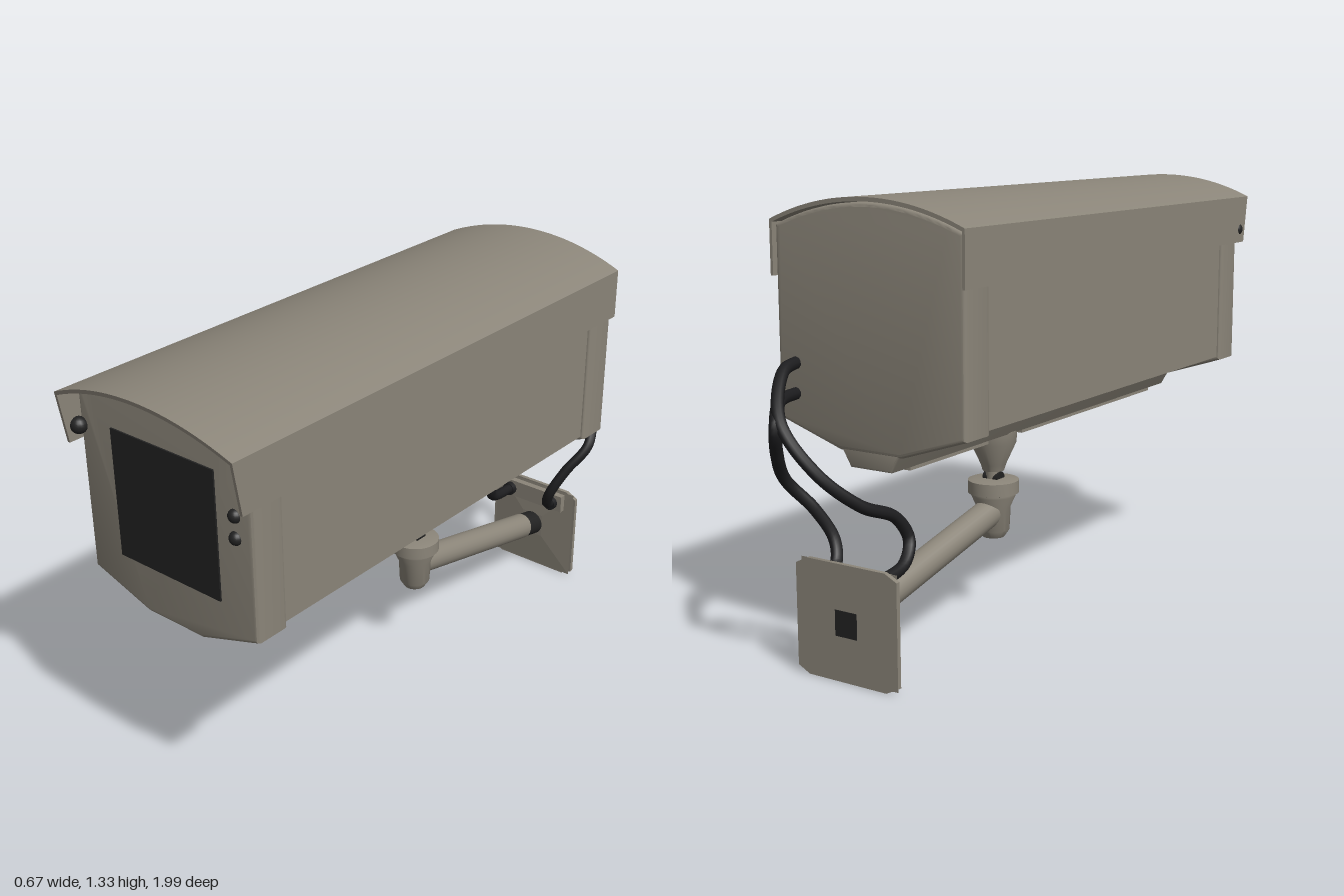
import * as THREE from 'three';
import { toCreasedNormals } from 'three/addons/utils/BufferGeometryUtils.js';

export function createModel() {
  const model = new THREE.Group();
  const mat = (name, color) => new THREE.MeshStandardMaterial({ name, color });
  const metal = mat('warm grey metal', 0x8b8579);
  const dark = mat('dark glass', 0x222222);
  const rubber = mat('black rubber', 0x1d1d1f);

  const add = (name, geo, material, x = 0, y = 0, z = 0, parent = model) => {
    const mesh = new THREE.Mesh(geo, material);
    mesh.name = name;
    mesh.position.set(x, y, z);
    parent.add(mesh);
    return mesh;
  };
  // extrude an x-y outline between two z positions, with an optional edge bevel
  const slab = (shape, z0, z1, bevel = 0) => {
    const geo = new THREE.ExtrudeGeometry(shape, {
      depth: z1 - z0 - 2 * bevel, bevelEnabled: bevel > 0, bevelSize: bevel,
      bevelThickness: bevel, bevelOffset: -bevel, bevelSegments: 3, curveSegments: 20,
    });
    geo.translate(0, 0, z0 + bevel);
    return toCreasedNormals(geo, 0.6);
  };
  const polygon = (pts) => new THREE.Shape(pts.map(([x, y]) => new THREE.Vector2(x, y)));
  const lathe = (pts) => toCreasedNormals(
    new THREE.LatheGeometry(pts.map(([r, y]) => new THREE.Vector2(r, y)), 32), 0.6);
  // cylinder between two points
  const rod = (name, a, b, r, material) => {
    const dir = b.clone().sub(a);
    const mesh = add(name, new THREE.CylinderGeometry(r, r, dir.length(), 24), material);
    mesh.position.copy(a).add(b).multiplyScalar(0.5);
    mesh.quaternion.setFromUnitVectors(new THREE.Vector3(0, 1, 0), dir.normalize());
  };

  // Housing: arched top, straight sides, sloping floor
  const housing = (inset) => {
    const w = 0.32 - inset;
    const s = new THREE.Shape();
    s.moveTo(-0.105, 0.625 + inset);
    s.lineTo(0.105, 0.625 + inset);
    s.lineTo(w, 0.695 + inset);
    s.lineTo(w, 1.245);
    s.quadraticCurveTo(w * 0.5, 1.313, 0, 1.313);
    s.quadraticCurveTo(-w * 0.5, 1.313, -w, 1.245);
    s.lineTo(-w, 0.695 + inset);
    return s;
  };
  add('housingBody', slab(housing(0.01), -0.66, 0.82), metal);
  add('frontCap', slab(housing(0), 0.805, 0.92, 0.012), metal);
  add('backCap', slab(housing(0), -0.765, -0.645, 0.012), metal);

  // Sunshield: thin arched shell with a raked front edge
  const hood = new THREE.Shape();
  hood.moveTo(-0.33, 1.1);
  hood.lineTo(-0.33, 1.258);
  hood.quadraticCurveTo(-0.17, 1.328, 0, 1.328);
  hood.quadraticCurveTo(0.17, 1.328, 0.33, 1.258);
  hood.lineTo(0.33, 1.1);
  hood.lineTo(0.321, 1.1);
  hood.lineTo(0.321, 1.25);
  hood.quadraticCurveTo(0.165, 1.316, 0, 1.316);
  hood.quadraticCurveTo(-0.165, 1.316, -0.321, 1.25);
  hood.lineTo(-0.321, 1.1);
  const hoodGeo = slab(hood, -0.775, 1);
  const p = hoodGeo.attributes.position;
  for (let i = 0; i < p.count; i++) {
    if (p.getZ(i) > 0.9) p.setZ(i, 1 - (1.328 - p.getY(i)) * 0.17);
  }
  add('sunshield', toCreasedNormals(hoodGeo, 0.6), metal);

  // Window, indicator lamps and shield knob
  add('window', new THREE.BoxGeometry(0.385, 0.39, 0.008), dark, 0, 0.975, 0.921);
  for (const y of [0.995, 1.06]) {
    add('indicatorLamp', new THREE.SphereGeometry(0.02, 16, 12), dark, 0.258, y, 0.918);
  }
  add('shieldKnob', new THREE.SphereGeometry(0.025, 16, 12), dark, -0.312, 1.145, 0.932);

  // Floor rail, its two strips and a small side slot
  add('floorRail', slab(polygon([[-0.07, 0.58], [0.07, 0.58], [0.105, 0.64], [-0.105, 0.64]]),
    -0.762, 0.86, 0.006), metal);
  for (const [z0, z1] of [[-0.64, -0.245], [-0.055, 0.8]]) {
    add('railStrip', new THREE.BoxGeometry(0.09, 0.03, z1 - z0), metal, 0, 0.575, (z0 + z1) / 2);
  }
  const slot = add('slot', new THREE.BoxGeometry(0.008, 0.03, 0.15), dark, 0.092, 0.612, 0.33);
  slot.rotation.z = -0.53;

  // Swivel joint
  const joint = new THREE.Group();
  joint.name = 'swivelJoint';
  joint.position.z = -0.15;
  model.add(joint);
  add('upperCone', lathe([[0, 0.455], [0.034, 0.455], [0.04, 0.475], [0.072, 0.545],
    [0.075, 0.585], [0, 0.585]]), metal, 0, 0, 0, joint);
  add('pivotPin', new THREE.CylinderGeometry(0.024, 0.024, 0.08, 20), metal, 0, 0.44, 0, joint);
  const bolt = add('pivotBolt', new THREE.CylinderGeometry(0.022, 0.022, 0.054, 16), dark, 0, 0.43, 0, joint);
  bolt.rotation.z = Math.PI / 2;
  add('lowerCup', lathe([[0, 0.238], [0.035, 0.242], [0.05, 0.265], [0.054, 0.34], [0.07, 0.375],
    [0.07, 0.382], [0.08, 0.385], [0.08, 0.425], [0.06, 0.43], [0, 0.43]]), metal, 0, 0, 0, joint);

  // Arm with dark end collar
  const armStart = new THREE.Vector3(0, 0.325, -0.17);
  const armEnd = new THREE.Vector3(0, 0.172, -0.862);
  const neck = armStart.clone().lerp(armEnd, 0.89);
  rod('arm', armStart, neck, 0.045, metal);
  rod('armCollar', neck, armEnd, 0.043, dark);

  // Wall plate with clipped corners and a shallow raised front
  const c = 0.04, w = 0.175, h = 0.34;
  add('wallPlate', slab(polygon([[-w + c, 0], [w - c, 0], [w, c / 2], [w, h - c / 2], [w - c, h],
    [-w + c, h], [-w, h - c / 2], [-w, c / 2]]), -0.882, -0.868), metal);
  const boss = new THREE.CylinderGeometry(0.06, 0.235, 0.008, 4, 1);
  boss.rotateY(Math.PI / 4);
  boss.rotateX(Math.PI / 2);
  add('plateBoss', toCreasedNormals(boss, 0.01), metal, 0, 0.17, -0.864);
  add('plateOpening', new THREE.BoxGeometry(0.075, 0.075, 0.004), dark, 0, 0.17, -0.882);
  add('cableBlock', new THREE.BoxGeometry(0.26, 0.062, 0.026), metal, 0, 0.296, -0.857);

  // Cables from the back of the housing to the wall plate
  const cables = {
    outerCable: [[0.26, 0.86, -0.75], [0.23, 0.845, -0.85], [0.14, 0.73, -0.965], [0.04, 0.6, -0.94],
      [-0.025, 0.5, -0.84], [-0.045, 0.44, -0.71], [-0.06, 0.37, -0.67], [-0.08, 0.315, -0.72], [-0.09, 0.295, -0.86]],
    innerCable: [[0.265, 0.77, -0.75], [0.21, 0.77, -0.89], [0.15, 0.72, -0.975], [0.175, 0.64, -0.945],
      [0.205, 0.55, -0.88], [0.16, 0.46, -0.815], [0.12, 0.37, -0.78], [0.095, 0.31, -0.805], [0.09, 0.295, -0.86]],
  };
  for (const [name, pts] of Object.entries(cables)) {
    const curve = new THREE.CatmullRomCurve3(pts.map((q) => new THREE.Vector3(...q)));
    add(name, new THREE.TubeGeometry(curve, 64, 0.018, 10), rubber);
    const gland = add('cableGland', new THREE.CylinderGeometry(0.024, 0.024, 0.03, 16), rubber,
      pts[8][0], 0.295, -0.84);
    gland.rotation.x = Math.PI / 2;
  }
  return model;
}
